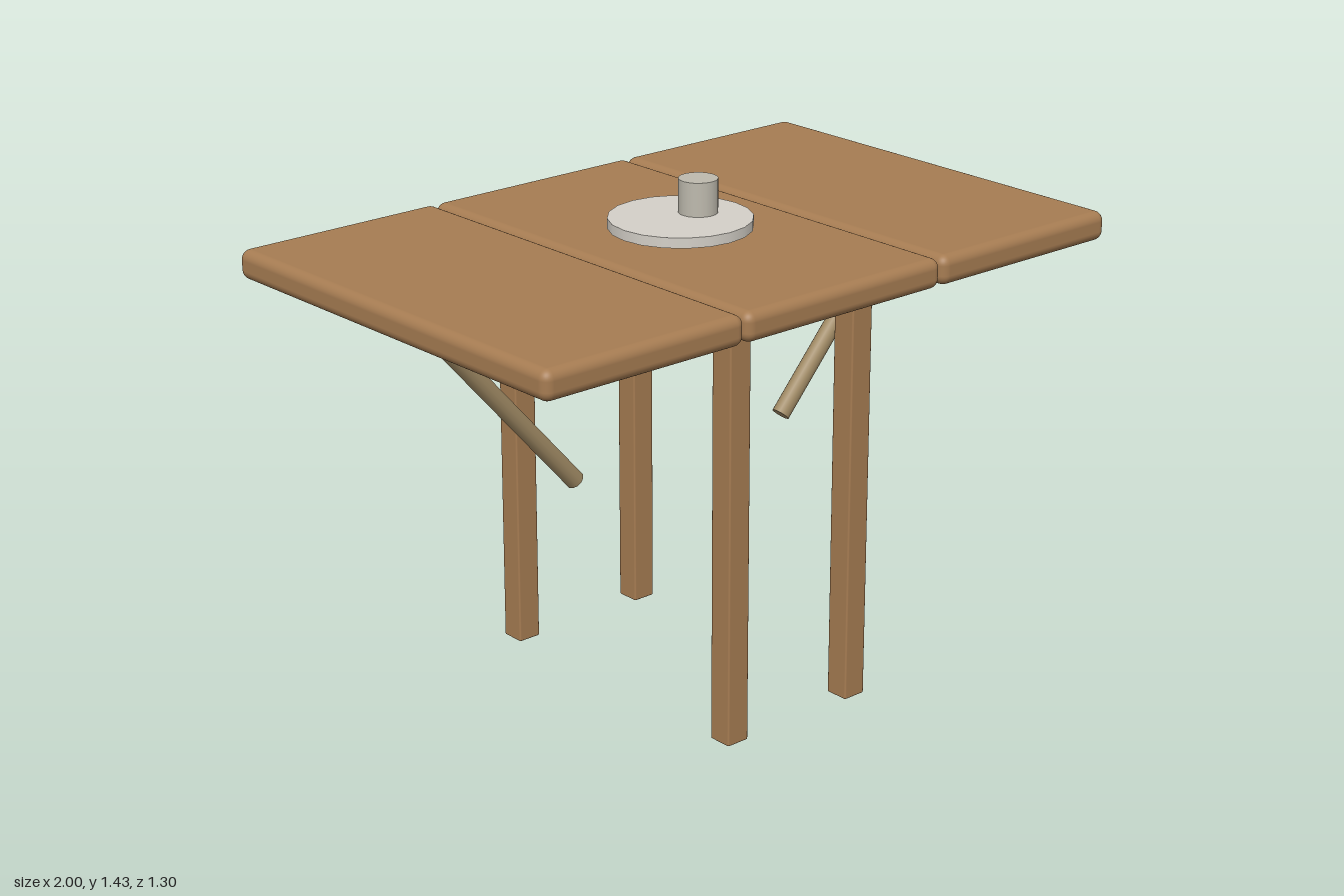
import * as THREE from 'three';
import { RoundedBoxGeometry } from 'three/addons/geometries/RoundedBoxGeometry.js';

export function createModel() {
  const model = new THREE.Group();
  model.name = 'dropLeafTable';

  const wood = new THREE.MeshStandardMaterial({ color: 0xa67c52 });
  const paleWood = new THREE.MeshStandardMaterial({ color: 0xa08a64 });
  const plateGrey = new THREE.MeshStandardMaterial({ color: 0xd4d0c8 });
  const knobGrey = new THREE.MeshStandardMaterial({ color: 0xbebaae });

  function add(name, geometry, material, x, y, z) {
    const mesh = new THREE.Mesh(geometry, material);
    mesh.name = name;
    mesh.position.set(x, y, z);
    model.add(mesh);
    return mesh;
  }

  // Table top: fixed centre panel, 0.084 thick
  const thick = 0.084, depth = 1.3, topY = 1.255;
  add('centrePanel', new RoundedBoxGeometry(0.698, thick, depth, 4, 0.028), wood, 0, topY, 0);

  const up = new THREE.Vector3(0, 1, 0);
  for (const [side, s] of [['left', 1], ['right', -1]]) {
    // Hinged leaf
    add(side + 'Leaf', new RoundedBoxGeometry(0.648, thick, depth, 4, 0.028), wood, s * 0.676, topY, 0);

    // Slanted brace under the leaf
    const low = new THREE.Vector3(s * 0.382, 0.666, 0);
    const high = new THREE.Vector3(s * 0.846, 1.19, 0);
    const axis = high.clone().sub(low);
    const mid = low.clone().add(high).multiplyScalar(0.5);
    const brace = add(side + 'Brace', new THREE.CylinderGeometry(0.027, 0.027, axis.length(), 12), paleWood, mid.x, mid.y, 0);
    brace.quaternion.setFromUnitVectors(up, axis.normalize());

    // Square legs
    for (const [end, t] of [['Front', 1], ['Back', -1]]) {
      add(side + end + 'Leg', new RoundedBoxGeometry(0.072, 1.2, 0.072, 2, 0.005), wood, s * 0.22, 0.6, t * 0.45);
    }
  }

  // Round plate with an off-centre cup
  add('plate', new THREE.CylinderGeometry(0.2, 0.2, 0.029, 20), plateGrey, 0, 1.32, 0);
  add('cup', new THREE.CylinderGeometry(0.055, 0.055, 0.097, 20), knobGrey, 0.064, 1.382, 0);

  return model;
}
